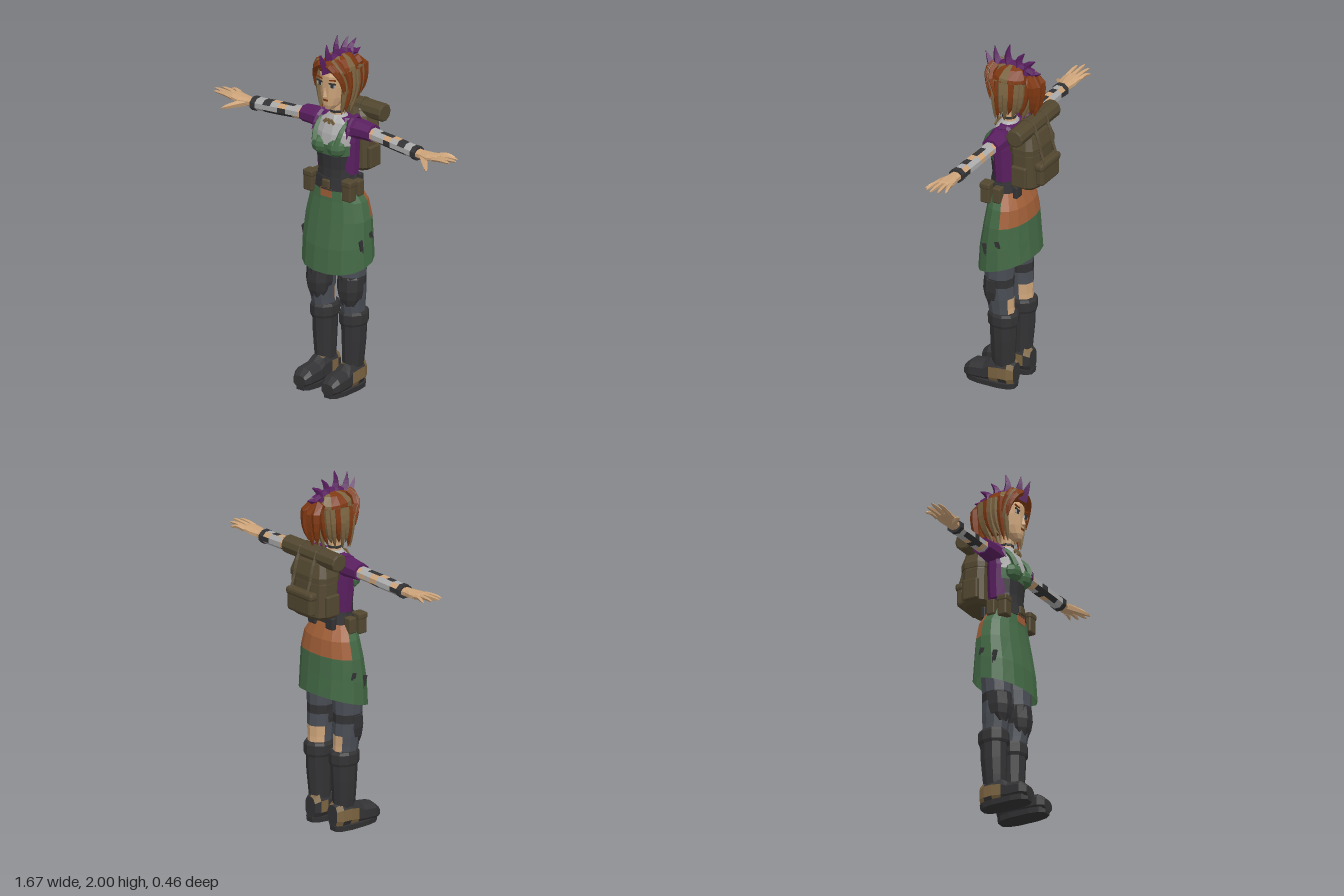
import * as THREE from 'three';
import { RoundedBoxGeometry } from 'three/addons/geometries/RoundedBoxGeometry.js';

const paint = (name, color, side = THREE.FrontSide) => {
  const m = new THREE.MeshStandardMaterial({ color, side });
  m.name = name;
  return m;
};
const V = (p) => new THREE.Vector3(...p);
const hash = (a, b) => Math.abs(Math.sin(a * 12.99 + b * 78.23) * 437.58) % 1;

// Loft of elliptical rings [p, a, b, ra, rb, tilt] along an axis; e < 1 makes rings boxier
function loft(axis, rows, n = 10, { e = 1, caps = true, pick = () => 0 } = {}) {
  const pos = [], faces = [];
  const put = (p, a, b) => pos.push(...(axis === 'y' ? [a, p, b] : axis === 'x' ? [p, a, b] : [a, b, p]));
  const bend = (v) => Math.sign(v) * Math.pow(Math.abs(v), e);
  for (const [p, a, b, ra, rb, tilt = 0] of rows) {
    for (let k = 0; k < n; k++) {
      const t = ((k + 0.5) / n) * Math.PI * 2, s = bend(Math.sin(t));
      put(p - tilt * s, a + ra * bend(Math.cos(t)), b + rb * s);
    }
  }
  const flip = (axis !== 'y') !== (rows[0][0] > rows[rows.length - 1][0]);
  const tri = (m, a, b, c) => (faces[m] ??= []).push(...(flip ? [a, c, b] : [a, b, c]));
  for (let r = 0; r + 1 < rows.length; r++) {
    for (let k = 0; k < n; k++) {
      const a = r * n + k, b = r * n + (k + 1) % n, m = pick(r, k, ((k + 1) / n) * Math.PI * 2);
      tri(m, a, a + n, b);
      tri(m, b, a + n, b + n);
    }
  }
  if (caps) {
    const top = (rows.length - 1) * n;
    for (let k = 1; k + 1 < n; k++) {
      tri(0, 0, k, k + 1);
      tri(0, top, top + k + 1, top + k);
    }
  }
  const g = new THREE.BufferGeometry();
  g.setAttribute('position', new THREE.Float32BufferAttribute(pos, 3));
  const index = [];
  faces.forEach((f, m) => { g.addGroup(index.length, f.length, m); index.push(...f); });
  g.setIndex(index);
  return g;
}

// Tapering strand along a curve, used for hair, spikes, fingers and straps
function strand(points, width, power = 0.6, sides = 5, segs = 6) {
  const curve = new THREE.CatmullRomCurve3(points.map(V));
  const g = new THREE.TubeGeometry(curve, segs, 1, sides);
  const p = g.attributes.position, v = new THREE.Vector3();
  for (let i = 0; i < p.count; i++) {
    const u = Math.floor(i / (sides + 1)) / segs, c = curve.getPointAt(u);
    v.fromBufferAttribute(p, i).sub(c).multiplyScalar(Math.max(0.002, width * Math.pow(1 - u, power))).add(c);
    p.setXYZ(i, v.x, v.y, v.z);
  }
  return g;
}
const box = (w, h, d, x, y, z, r = 0.008) => new RoundedBoxGeometry(w, h, d, 1, r).translate(x, y, z);
const plate = (w, h, x, y, z, turn = 0) => new THREE.BoxGeometry(w, h, 0.006).rotateZ(turn).translate(x, y, z);

export function createModel() {
  const skin = paint('skin', 0xcda47a);
  const rust = paint('rustHair', 0x7e3812);
  const tan = paint('tanHair', 0x7c6542);
  const purple = paint('purple', 0x5a1f60);
  const green = paint('greenCloth', 0x446a46, THREE.DoubleSide);
  const black = paint('blackLeather', 0x333335, THREE.DoubleSide);
  const grey = paint('greyStocking', 0x4a4e55);
  const pale = paint('paleBandage', 0xababab);
  const olive = paint('oliveCanvas', 0x524730);
  const orange = paint('orangeCloth', 0xa05f38, THREE.DoubleSide);

  const model = new THREE.Group();
  const add = (name, geo, mat) => {
    const g = geo.index ? geo.toNonIndexed() : geo;
    g.deleteAttribute('normal');
    g.deleteAttribute('uv');
    g.computeVertexNormals();
    const mesh = new THREE.Mesh(g, mat);
    mesh.name = name;
    model.add(mesh);
  };
  const pair = (name, geo, mat) => {
    const g = geo.index ? geo.toNonIndexed() : geo.clone(), p = g.attributes.position;
    for (let i = 0; i < p.count; i += 3) {
      const t = [0, 2, 1].map((k) => new THREE.Vector3().fromBufferAttribute(p, i + k));
      t.forEach((v, k) => p.setXYZ(i + k, -v.x, v.y, v.z));
    }
    add(name + 'Left', geo, mat);
    add(name + 'Right', g, mat);
  };

  // Boots and legs
  pair('sole', loft('y', [[0, 0.095, 0.09, 0.058, 0.148], [0.03, 0.095, 0.09, 0.062, 0.152]], 12, { e: 0.7 }), black);
  pair('foot', loft('z', [[-0.055, 0.09, 0.085, 0.04, 0.06], [-0.02, 0.092, 0.088, 0.055, 0.078],
    [0.03, 0.095, 0.088, 0.057, 0.078], [0.085, 0.095, 0.08, 0.055, 0.075], [0.12, 0.095, 0.068, 0.058, 0.06],
    [0.2, 0.097, 0.063, 0.06, 0.053], [0.238, 0.097, 0.05, 0.042, 0.032]], 10,
  { e: 0.75, pick: (r, k) => (r < 3 && hash(r + 2, k) > 0.6 ? 1 : 0) }), [black, tan]);
  pair('bootShaft', loft('y', [[0.13, 0.095, 0.02, 0.052, 0.065], [0.18, 0.097, 0.02, 0.056, 0.068],
    [0.28, 0.1, 0.018, 0.062, 0.074], [0.39, 0.1, 0.018, 0.066, 0.078]], 10), black);
  pair('bootCuff', loft('y', [[0.37, 0.1, 0.018, 0.07, 0.082], [0.385, 0.1, 0.018, 0.076, 0.088],
    [0.435, 0.1, 0.018, 0.077, 0.088], [0.45, 0.1, 0.018, 0.07, 0.08]], 10), black);
  pair('leg', loft('y', [[0.4, 0.1, 0.02, 0.06, 0.07], [0.48, 0.103, 0.03, 0.062, 0.074], [0.54, 0.105, 0.034, 0.066, 0.08],
    [0.61, 0.105, 0.038, 0.07, 0.082], [0.66, 0.105, 0.04, 0.075, 0.083], [0.74, 0.104, 0.038, 0.08, 0.085],
    [0.95, 0.1, 0.03, 0.088, 0.09]], 10,
  { pick: (r, k, t) => (r === 3 ? 2 : r < 2 && Math.sin(t) < -0.3 && hash(r, k) > 0.45 ? 1 : 0) }), [grey, skin, black]);
  pair('kneePad', loft('y', [[0.49, 0.107, 0.07, 0.045, 0.035], [0.53, 0.107, 0.06, 0.066, 0.06],
    [0.58, 0.107, 0.058, 0.076, 0.07], [0.65, 0.107, 0.055, 0.076, 0.067], [0.665, 0.107, 0.055, 0.06, 0.055]], 8), black);

  // Skirt: green apron open at the upper back over orange cloth
  add('skirt', loft('y', [[0.725, 0, 0.03, 0.21, 0.152, 0.045], [0.85, 0, 0.03, 0.208, 0.142, 0.03],
    [0.98, 0, 0.022, 0.2, 0.125, 0.01], [1.08, 0, 0.02, 0.176, 0.11], [1.16, 0, 0.037, 0.13, 0.088]], 16,
  { e: 0.9, caps: false, pick: (r, k, t) => (r > 1 && Math.sin(t) < -0.05 ? 1 : 0) }), [green, orange]);
  add('waistPatch', plate(0.075, 0.05, 0, 1.125, 0.128).rotateX(0), orange);
  for (const [y, z, h] of [[0.85, 0.075, 0.06], [0.81, 0.055, 0.07], [0.89, 0, 0.04]])
    pair('skirtTear', new THREE.BoxGeometry(0.008, h, 0.026).rotateX(0.25).translate(0.202 - 0.1 * Math.abs(z - 0.03), y, z), black);
  for (let i = 0; i < 6; i++)
    add('backTear', plate(0.03, 0.02, -0.1 + i * 0.04, 0.97 + hash(i, 3) * 0.03, -0.098 + Math.abs(i - 2.5) * 0.008, i), black);

  // Belt with pouches
  add('belt', loft('y', [[1.14, 0, 0.04, 0.135, 0.095], [1.21, 0, 0.04, 0.125, 0.088]], 12), black);
  add('buckle', box(0.05, 0.05, 0.02, 0, 1.175, 0.13), olive);
  pair('pouch', box(0.06, 0.11, 0.055, 0.132, 1.155, 0.1), olive);
  pair('pouchFlap', box(0.066, 0.035, 0.062, 0.132, 1.2, 0.1), olive);
  pair('sidePouch', box(0.05, 0.09, 0.05, 0.138, 1.16, 0.03), olive);
  pair('backPouch', box(0.06, 0.07, 0.03, 0.07, 1.17, -0.05), black);

  // Torso: corset, bust, pale shirt and open jacket
  add('corset', loft('y', [[1.19, 0, 0.045, 0.115, 0.078], [1.26, 0, 0.048, 0.108, 0.074], [1.35, 0, 0.05, 0.116, 0.08]], 12), black);
  add('shirt', loft('y', [[1.34, 0, 0.05, 0.117, 0.08], [1.4, 0, 0.05, 0.122, 0.088], [1.46, 0, 0.045, 0.125, 0.082],
    [1.52, 0, 0.038, 0.1, 0.065], [1.555, 0, 0.035, 0.045, 0.045]], 12,
  { pick: (r) => (r === 0 ? 1 : 0) }), [pale, green]);
  pair('bust', new THREE.SphereGeometry(1, 8, 6).scale(0.056, 0.052, 0.05).translate(0.053, 1.385, 0.107), green);
  pair('bustStrap', strand([[0.075, 1.41, 0.14], [0.085, 1.47, 0.115], [0.085, 1.53, 0.06]], 0.018, 0.2, 4), green);
  add('jacket', loft('y', [[1.23, 0, 0.03, 0.13, 0.07], [1.3, 0, 0.03, 0.135, 0.075], [1.42, 0, 0.033, 0.142, 0.08],
    [1.49, 0, 0.03, 0.14, 0.072], [1.545, 0, 0.025, 0.095, 0.045]], 12), purple);
  pair('sleeve', loft('x', [[0.08, 1.48, 0.03, 0.06, 0.06], [0.14, 1.492, 0.022, 0.055, 0.06],
    [0.19, 1.492, 0.02, 0.05, 0.057], [0.238, 1.49, 0.02, 0.047, 0.054]], 8), purple);
  add('neck', loft('y', [[1.53, 0, 0.035, 0.042, 0.042], [1.57, 0, 0.04, 0.036, 0.036], [1.65, 0, 0.045, 0.036, 0.038]], 8), skin);
  add('choker', loft('y', [[1.565, 0, 0.04, 0.04, 0.04], [1.578, 0, 0.04, 0.04, 0.04]], 8), black);
  for (const t of [-0.8, 0, 0.8])
    add('necklacePatch', plate(0.018, 0.03, t * 0.03, 1.525, 0.107, t).rotateX(0), tan);

  // Arms with torn bandages, hands with fingers
  const armRows = [[0.2, 0.036], [0.26, 0.036], [0.3, 0.035], [0.34, 0.036], [0.39, 0.037], [0.44, 0.037], [0.49, 0.036], [0.545, 0.036]];
  pair('arm', loft('x', armRows.map(([x, r]) => [x, 1.488 - (x - 0.2) * 0.06, 0.02 + (x - 0.2) * 0.06, r, r + 0.005]), 8, {
    pick: (r, k) => {
      const h = hash(r + 1, k + 2);
      return r === 3 ? (h > 0.75 ? 0 : 2) : r < 2 ? (h > 0.55 ? 1 : 0) : h > 0.8 ? 2 : h > 0.68 ? 0 : 1;
    },
  }), [skin, pale, black]);
  pair('wristBand', loft('x', [[0.54, 1.467, 0.042, 0.039, 0.045], [0.57, 1.466, 0.042, 0.04, 0.045]], 8), black);
  pair('palm', loft('x', [[0.54, 1.467, 0.042, 0.026, 0.034], [0.6, 1.467, 0.044, 0.024, 0.034], [0.65, 1.471, 0.048, 0.021, 0.05],
    [0.7, 1.479, 0.045, 0.015, 0.05], [0.715, 1.481, 0.045, 0.01, 0.046]], 8), skin);
  for (const [x, y, z, z0] of [[0.78, 1.473, -0.014, 0.006], [0.818, 1.485, 0.014, 0.031], [0.836, 1.489, 0.052, 0.055], [0.816, 1.485, 0.085, 0.08]])
    pair('finger', strand([[0.69, 1.477, z0], [(0.69 + x) / 2, 1.485, (z + z0) / 2], [x, y, z]], 0.014, 0.3), skin);
  pair('thumb', strand([[0.61, 1.465, 0.06], [0.66, 1.45, 0.105], [0.71, 1.432, 0.15]], 0.021, 0.35), skin);

  // Head and face
  add('head', loft('y', [[1.6, 0, 0.1, 0.022, 0.028], [1.625, 0, 0.08, 0.048, 0.056], [1.67, 0, 0.058, 0.07, 0.08],
    [1.73, 0, 0.045, 0.083, 0.093], [1.79, 0, 0.04, 0.087, 0.098], [1.85, 0, 0.03, 0.07, 0.08]], 12), skin);
  add('nose', new THREE.ConeGeometry(0.014, 0.055, 4).scale(1, 1, 1.2).translate(0, 1.705, 0.14), skin);
  add('lips', plate(0.03, 0.01, 0, 1.655, 0.136), rust);
  pair('eyeWhite', plate(0.036, 0.018, 0.037, 1.742, 0.131).rotateY(0.05), pale);
  pair('iris', plate(0.016, 0.018, 0.036, 1.742, 0.134).rotateY(0.05), black);
  pair('eyeLiner', plate(0.044, 0.008, 0.037, 1.755, 0.133, 0.1).rotateY(0.05), black);
  pair('eyebrow', plate(0.042, 0.007, 0.038, 1.775, 0.132, 0.15).rotateY(0.05), rust);

  // Hair: cap, fringe, hanging locks, back tail and spiked crest
  add('hairCap', loft('y', [[1.735, 0, 0.02, 0.098, 0.105, -0.075], [1.78, 0, 0.022, 0.107, 0.12, -0.045],
    [1.835, 0, 0.025, 0.095, 0.115, -0.008], [1.875, 0, 0.02, 0.06, 0.08], [1.89, 0, 0.015, 0.02, 0.04]], 14,
  { pick: (r, k) => (hash(k, 5) > 0.68 ? 1 : 0) }), [rust, tan]);
  for (let i = 0; i < 4; i++) {
    const d = i * 0.012;
    pair('fringe', strand([[0.002 + d, 1.862 + d * 0.3, 0.135 - d], [0.05 + d, 1.845, 0.142 - d],
      [0.09 + d * 0.3, 1.785, 0.12 - d], [0.1, 1.70 - d, 0.1 - d * 1.5]], 0.022), i === 2 ? tan : rust);
  }
  for (let i = 0; i < 9; i++) {
    const t = 0.55 - i * 0.235, x = 0.1 * Math.cos(t), z = 0.02 + 0.12 * Math.sin(t);
    pair('lock', strand([[x * 0.95, 1.82, z], [x * 1.06, 1.74, z], [x * 0.98, 1.66, z * 0.9 + 0.01],
      [x * 0.8, 1.565 + hash(i, 2) * 0.06, z * 0.75 + 0.025]], 0.026, 0.5), i % 3 === 1 ? rust : tan);
  }
  for (const [x, low] of [[0, 1.6], [0.035, 1.63], [-0.035, 1.62]])
    add('backTail', strand([[x * 0.5, 1.81, -0.07], [x, 1.83, -0.115], [x * 1.3, 1.74, -0.13], [x, low, -0.115]], 0.034, 0.4), rust);
  const spikes = [[0.13, 1.84, 0.183, 1.925], [0.095, 1.86, 0.127, 1.968], [0.035, 1.875, 0.035, 1.998],
    [-0.02, 1.87, -0.055, 1.967], [-0.06, 1.86, -0.12, 1.935], [-0.085, 1.83, -0.155, 1.87]];
  for (const [z, y, tz, ty] of spikes)
    add('crestSpike', strand([[0, y - 0.02, z], [0, (y + ty) / 2, (z * 0.6 + tz * 0.4) + 0.012], [0, ty, tz]], 0.036, 0.8, 4), purple);
  add('crestBase', strand([[0, 1.86, -0.11], [0, 1.885, -0.03], [0, 1.885, 0.06], [0, 1.84, 0.155]], 0.022, 0.15, 6), purple);

  // Backpack, pockets, straps and bedroll
  add('backpack', loft('y', [[1.22, 0, -0.105, 0.12, 0.07], [1.24, 0, -0.105, 0.14, 0.085], [1.42, 0, -0.1, 0.138, 0.082],
    [1.51, 0, -0.095, 0.125, 0.07], [1.56, 0, -0.09, 0.1, 0.05]], 12, { e: 0.6 }), olive);
  add('packLid', loft('y', [[1.43, 0, -0.1, 0.143, 0.088], [1.46, 0, -0.1, 0.143, 0.088], [1.53, 0, -0.095, 0.12, 0.07],
    [1.57, 0, -0.09, 0.09, 0.045]], 12, { e: 0.6 }), olive);
  add('packPocket', box(0.19, 0.11, 0.05, 0, 1.3, -0.193, 0.015), olive);
  add('pocketFlap', box(0.205, 0.045, 0.058, 0, 1.355, -0.193, 0.015), olive);
  pair('packStrap', strand([[0.065, 1.6, -0.14], [0.065, 1.5, -0.178], [0.065, 1.42, -0.195], [0.065, 1.36, -0.222]], 0.011, 0.1, 4), olive);
  pair('sidePocket', box(0.03, 0.12, 0.09, 0.138, 1.3, -0.1), olive);
  pair('shoulderStrap', strand([[0.085, 1.5, -0.06], [0.1, 1.55, 0], [0.105, 1.53, 0.06], [0.12, 1.45, 0.105]], 0.014, 0.1, 4), purple);
  add('bedroll', loft('x', [[-0.21, 1.56, -0.108, 0.042, 0.042], [-0.205, 1.56, -0.108, 0.051, 0.051],
    [0.205, 1.56, -0.108, 0.051, 0.051], [0.21, 1.56, -0.108, 0.042, 0.042]], 10), olive);
  pair('rollBand', loft('x', [[0.055, 1.56, -0.108, 0.055, 0.055], [0.075, 1.56, -0.108, 0.055, 0.055]], 10), olive);
  return model;
}
